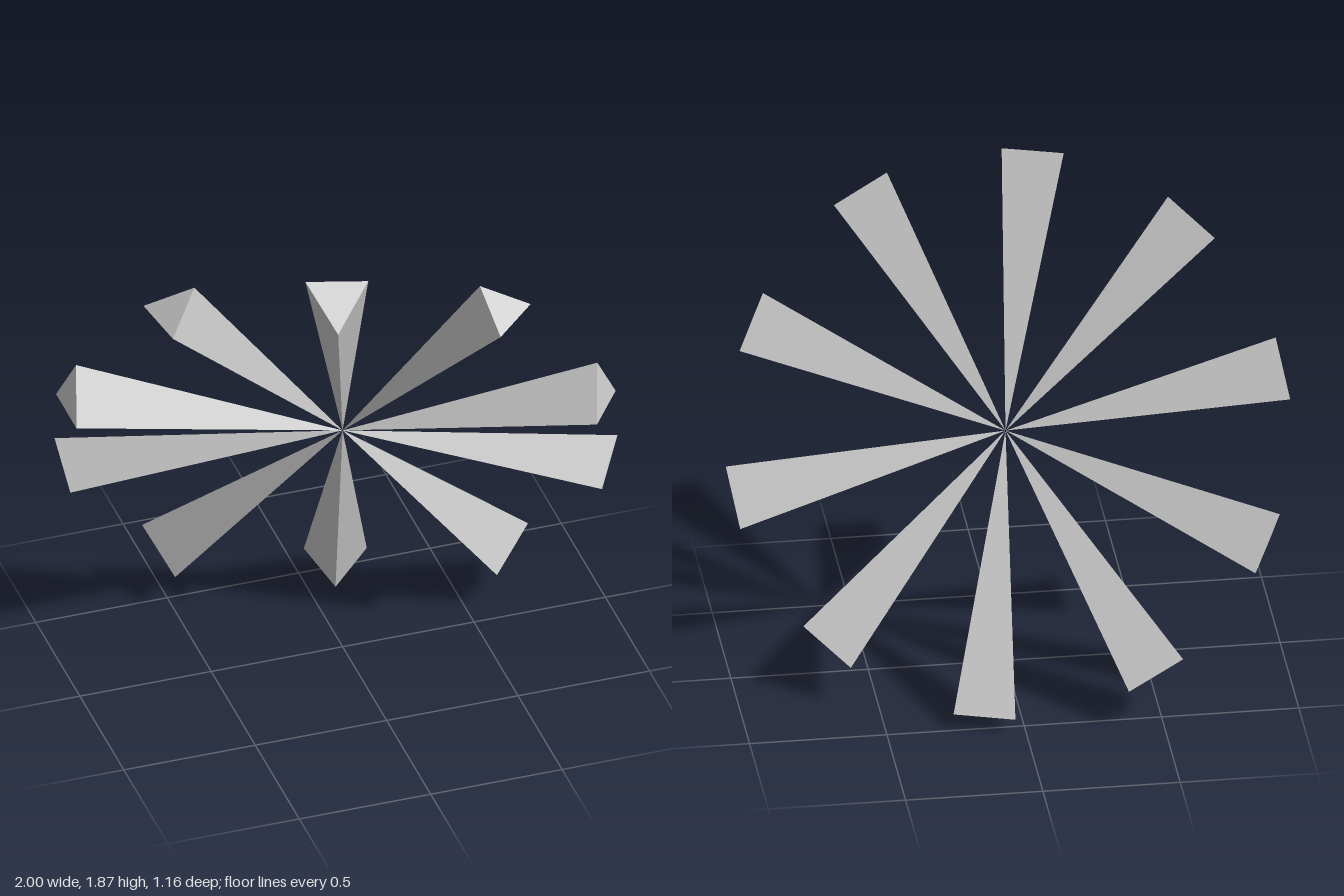
import * as THREE from 'three';

// Outer triangle of each spike, as three corners measured from the hub
const TIPS = [
  [[-0.26, 0.93, 0.353], [-0.043, 0.93, 0.42], [-0.198, 0.807, 0.54]],
  [[0.37, 0.842, 0.455], [0.563, 0.722, 0.455], [0.407, 0.692, 0.58]],
  [[0.825, 0.394, 0.43], [0.92, 0.203, 0.355], [0.787, 0.203, 0.54]],
  [[1, -0.148, 0.137], [0.963, -0.346, 0.022], [0.915, -0.315, 0.215]],
  [[0.757, -0.666, -0.153], [0.6, -0.785, -0.27], [0.6, -0.785, -0.038]],
  [[0.04, -0.883, -0.56], [0.256, -0.883, -0.49], [0.098, -0.943, -0.373]],
  [[-0.567, -0.666, -0.585], [-0.37, -0.785, -0.585], [-0.505, -0.785, -0.395]],
  [[-0.932, -0.148, -0.49], [-0.834, -0.346, -0.56], [-0.911, -0.315, -0.373]],
  [[-0.963, 0.394, -0.153], [-1, 0.2, -0.27], [-1, 0.2, -0.038]],
  [[-0.61, 0.842, 0.137], [-0.765, 0.722, 0.022], [-0.718, 0.692, 0.215]],
];

// Three-sided spike: apex at the origin, flat triangular cap outside
function spikeGeometry(tip) {
  let [a, b, c] = tip.map((p) => new THREE.Vector3(...p));
  const apex = new THREE.Vector3();
  const facing = b.clone().sub(a).cross(c.clone().sub(a)).dot(a);
  if (facing < 0) [b, c] = [c, b];
  const geometry = new THREE.BufferGeometry().setFromPoints(
    [a, b, c, apex, b, a, apex, c, b, apex, a, c]);
  geometry.computeVertexNormals();
  return geometry;
}

export function createModel() {
  const model = new THREE.Group();
  model.name = 'spikeBurst';
  const material = new THREE.MeshStandardMaterial({ color: 0xcccccc, flatShading: true });

  // Ring of spikes meeting at a common hub
  const ring = new THREE.Group();
  ring.name = 'spikeRing';
  ring.position.y = 0.943;
  TIPS.forEach((tip, i) => {
    const spike = new THREE.Mesh(spikeGeometry(tip), material);
    spike.name = `spike${i + 1}`;
    ring.add(spike);
  });
  model.add(ring);
  return model;
}
